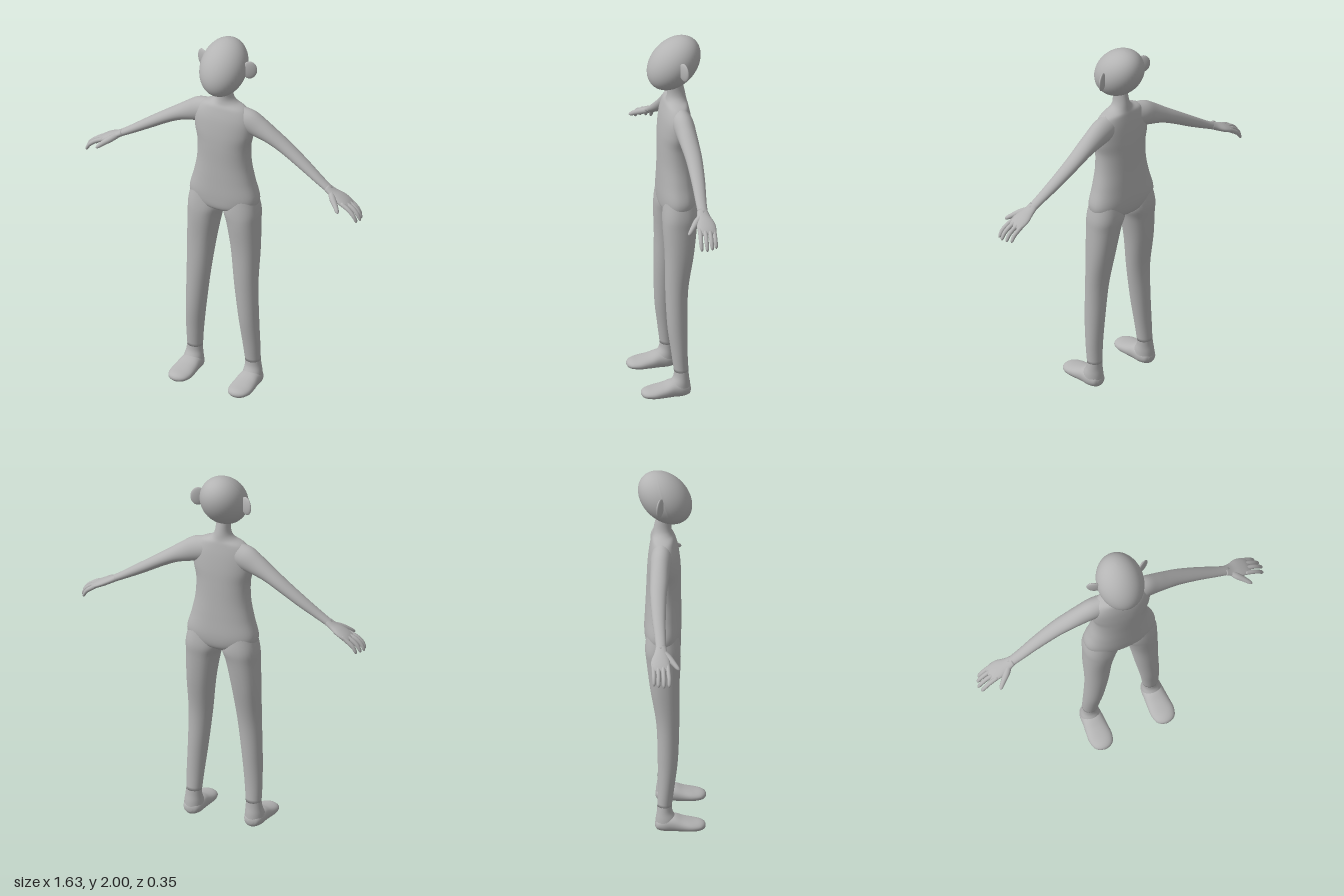
import * as THREE from 'three';

const skin = new THREE.MeshStandardMaterial({ color: 0xb4b4b4 });
skin.name = 'plain grey';

// Smooth closed skin through cross-sections [x, y, z, radiusU, radiusV, squareness].
// d is the direction of travel, u the direction of the first radius.
function loft(sections, d, u, steps = 5, sides = 28) {
  const D = new THREE.Vector3(...d).normalize();
  const U = new THREE.Vector3(...u).normalize();
  const V = new THREE.Vector3().crossVectors(D, U);
  const centres = new THREE.CatmullRomCurve3(sections.map(s => new THREE.Vector3(s[0], s[1], s[2])), false, 'catmullrom');
  const radii = new THREE.CatmullRomCurve3(sections.map(s => new THREE.Vector3(s[3], s[4], s[5] ?? 2)), false, 'catmullrom');
  const rings = (sections.length - 1) * steps + 1;
  const pos = [], index = [];
  for (let i = 0; i < rings; i++) {
    const c = centres.getPoint(i / (rings - 1)), r = radii.getPoint(i / (rings - 1));
    for (let j = 0; j < sides; j++) {
      const a = j / sides * Math.PI * 2, e = 2 / r.z;
      const bend = v => Math.sign(v) * Math.pow(Math.abs(v), e);
      const p = c.clone()
        .addScaledVector(U, Math.max(r.x, 0.001) * bend(Math.cos(a)))
        .addScaledVector(V, Math.max(r.y, 0.001) * bend(Math.sin(a)));
      pos.push(p.x, p.y, p.z);
      if (i < rings - 1) {
        const k = (j + 1) % sides, A = i * sides + j, B = i * sides + k;
        index.push(A, B, B + sides, A, B + sides, A + sides);
      }
    }
  }
  // End caps
  const first = sections[0], last = sections[sections.length - 1], n = rings * sides;
  pos.push(first[0], first[1], first[2], last[0], last[1], last[2]);
  for (let j = 0; j < sides; j++) {
    const k = (j + 1) % sides, o = n - sides;
    index.push(n, k, j, n + 1, o + j, o + k);
  }
  const g = new THREE.BufferGeometry();
  g.setAttribute('position', new THREE.Float32BufferAttribute(pos, 3));
  g.setIndex(index);
  g.computeVertexNormals();
  return g;
}

// Mirror across x = 0 and turn the faces outward again
function mirrored(geometry) {
  const g = geometry.clone();
  g.scale(-1, 1, 1);
  const ix = g.index.array;
  for (let i = 0; i < ix.length; i += 3) [ix[i], ix[i + 1]] = [ix[i + 1], ix[i]];
  g.computeVertexNormals();
  return g;
}

export function createModel() {
  const model = new THREE.Group();
  model.name = 'figure';
  const add = (name, g) => {
    const m = new THREE.Mesh(g, skin);
    m.name = name;
    model.add(m);
  };
  const pair = (name, g) => {
    add('left' + name, g);
    add('right' + name, mirrored(g));
  };

  // Head: an egg leaning back, chin forward
  const head = new THREE.SphereGeometry(1, 48, 32);
  head.scale(0.125, 0.145, 0.135);
  const p = head.attributes.position;
  for (let i = 0; i < p.count; i++) p.setZ(i, p.getZ(i) - 0.3 * p.getY(i));
  head.translate(0, 1.855, -0.035);
  head.computeVertexNormals();
  add('head', head);

  // Ears: thin discs swept back
  const ear = new THREE.SphereGeometry(1, 24, 16);
  ear.scale(0.04, 0.051, 0.011);
  ear.rotateY(0.45);
  ear.translate(0.139, 1.86, -0.06);
  pair('Ear', ear);

  // Torso and neck
  add('torso', loft([
    [0, 1.015, -0.045, 0.07, 0.06],
    [0, 1.04, -0.045, 0.17, 0.088, 2.2],
    [0, 1.1, -0.047, 0.198, 0.097, 2.4],
    [0, 1.2, -0.045, 0.173, 0.095, 2.3],
    [0, 1.3, -0.043, 0.153, 0.092, 2.2],
    [0, 1.4, -0.041, 0.15, 0.09, 2.2],
    [0, 1.48, -0.041, 0.166, 0.086, 2.2],
    [0, 1.56, -0.042, 0.165, 0.076, 2.2],
    [0, 1.62, -0.045, 0.128, 0.062, 2.2],
    [0, 1.65, -0.048, 0.066, 0.052],
    [0, 1.69, -0.047, 0.041, 0.046],
    [0, 1.77, -0.035, 0.037, 0.041],
  ], [0, 1, 0], [1, 0, 0], 6, 40));

  // Arms
  pair('Arm', loft([
    [0.06, 1.575, -0.05, 0.05, 0.07],
    [0.13, 1.557, -0.055, 0.056, 0.072],
    [0.2, 1.528, -0.06, 0.052, 0.058],
    [0.27, 1.495, -0.064, 0.048, 0.043],
    [0.35, 1.448, -0.068, 0.043, 0.035],
    [0.46, 1.377, -0.065, 0.036, 0.029],
    [0.56, 1.313, -0.057, 0.029, 0.022],
    [0.625, 1.274, -0.053, 0.026, 0.018],
  ], [0.82, -0.57, 0], [0, 0, 1]));

  // Hands: palm, four fingers and thumb
  pair('Palm', loft([
    [0.605, 1.286, -0.053, 0.027, 0.019],
    [0.64, 1.265, -0.053, 0.035, 0.018],
    [0.68, 1.245, -0.055, 0.048, 0.019],
    [0.715, 1.227, -0.054, 0.05, 0.017],
    [0.74, 1.214, -0.052, 0.042, 0.011],
    [0.747, 1.211, -0.052, 0.02, 0.004],
  ], [0.88, -0.47, 0], [0, 0, 1]));
  const fingers = [[-0.091, -0.088, 0.79], [-0.067, -0.064, 0.805], [-0.042, -0.036, 0.813], [-0.017, -0.008, 0.805]];
  fingers.forEach(([z0, z1, tip], i) => pair('Finger' + (i + 1), loft([
    [0.705, 1.232, z0, 0.012, 0.012],
    [tip - 0.055, 1.212, (z0 + z1) / 2, 0.012, 0.012],
    [tip - 0.022, 1.186, z1, 0.011, 0.011],
    [tip - 0.005, 1.16, z1, 0.009, 0.009],
    [tip, 1.15, z1, 0.003, 0.003],
  ], [0.8, -0.6, 0], [0, 0, 1], 4, 12)));
  pair('Thumb', loft([
    [0.632, 1.268, -0.042, 0.016, 0.016],
    [0.66, 1.25, -0.012, 0.018, 0.017],
    [0.69, 1.23, 0.015, 0.014, 0.014],
    [0.712, 1.213, 0.036, 0.01, 0.01],
    [0.72, 1.207, 0.044, 0.003, 0.003],
  ], [0.7, -0.4, 0.6], [0.65, 0, -0.76], 4, 14));

  // Legs, from hip to ankle
  pair('Leg', loft([
    [0.1, 1.13, -0.047, 0.085, 0.08],
    [0.103, 1.03, -0.047, 0.1, 0.092, 2.3],
    [0.115, 0.95, -0.042, 0.09, 0.089, 2.2],
    [0.13, 0.8, -0.036, 0.077, 0.076, 2.2],
    [0.141, 0.6, -0.02, 0.065, 0.06],
    [0.156, 0.4, -0.02, 0.055, 0.053],
    [0.167, 0.25, -0.028, 0.048, 0.043],
    [0.172, 0.14, -0.037, 0.042, 0.038],
  ], [0, -1, 0], [1, 0, 0], 6, 32));

  // Feet: ankle running down into the heel, and a flat sole part
  pair('Ankle', loft([
    [0.172, 0.15, -0.037, 0.041, 0.037],
    [0.174, 0.11, -0.036, 0.045, 0.041],
    [0.175, 0.07, -0.028, 0.052, 0.055],
    [0.175, 0.03, -0.025, 0.053, 0.058],
    [0.175, 0.008, -0.025, 0.035, 0.04],
  ], [0, -1, 0], [1, 0, 0]));
  pair('Foot', loft([
    [0.175, 0.035, -0.086, 0.012, 0.012],
    [0.175, 0.038, -0.074, 0.038, 0.031],
    [0.175, 0.044, -0.04, 0.054, 0.042, 2.3],
    [0.175, 0.046, 0.01, 0.058, 0.045, 2.2],
    [0.176, 0.038, 0.06, 0.062, 0.036, 2.2],
    [0.177, 0.033, 0.11, 0.064, 0.029, 2.2],
    [0.177, 0.031, 0.15, 0.053, 0.024],
    [0.177, 0.03, 0.17, 0.033, 0.016],
    [0.177, 0.03, 0.178, 0.01, 0.005],
  ], [0, 0, 1], [1, 0, 0]));

  return model;
}
